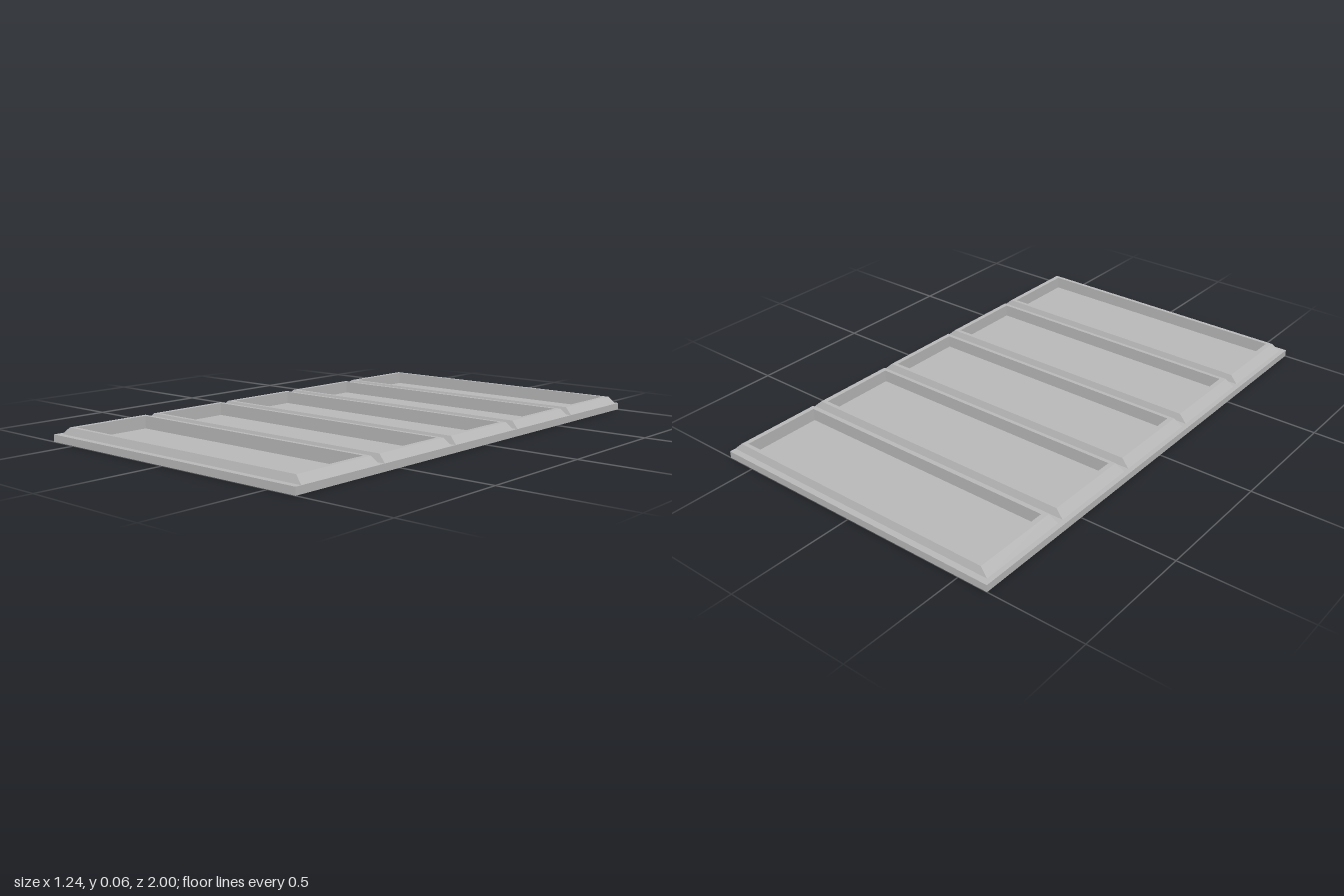
import * as THREE from 'three';

const WIDTH = 1.24, LENGTH = 2;
const FLOOR = 0.006, SLAB_TOP = 0.028, RIM_TOP = 0.056;
const PANELS = 5, PITCH = 0.395;
// Panel outlines as [x min, x max, half depth]
const BASE = [-0.6, 0.62, 0.185];
const CREST = [-0.567, 0.59, 0.176];
const HOLE = [-0.547, 0.57, 0.16];

// Corners of a rectangular outline at height y, counter-clockwise from above
function loop([x0, x1, h], y) {
  return [[x0, y, h], [x1, y, h], [x1, y, -h], [x0, y, -h]];
}

// Flat-faced skin through successive outlines, from the outside inwards
function rimGeometry(loops) {
  const points = [];
  for (let k = 0; k < loops.length - 1; k++) {
    const a = loops[k], b = loops[k + 1];
    for (let i = 0; i < 4; i++) {
      const j = (i + 1) % 4;
      points.push(a[i], a[j], b[j], a[i], b[j], b[i]);
    }
  }
  const geometry = new THREE.BufferGeometry();
  geometry.setAttribute('position', new THREE.Float32BufferAttribute(points.flat(), 3));
  geometry.computeVertexNormals();
  return geometry;
}

function rectangle(PathType, x0, x1, z0, z1) {
  const path = new PathType();
  path.moveTo(x0, z0).lineTo(x1, z0).lineTo(x1, z1).lineTo(x0, z1).closePath();
  return path;
}

export function createModel() {
  const group = new THREE.Group();
  group.name = 'panelledBoard';
  const grey = new THREE.MeshStandardMaterial({ color: 0xb8b8b8 });
  grey.name = 'grey';

  const add = (name, geometry) => {
    const mesh = new THREE.Mesh(geometry, grey);
    mesh.name = name;
    group.add(mesh);
    return mesh;
  };

  // Thin backing sheet, which is also the floor of the recesses
  add('backing', new THREE.BoxGeometry(WIDTH, FLOOR, LENGTH)).position.y = FLOOR / 2;

  // Slab with a rectangular opening for each panel
  const outline = rectangle(THREE.Shape, -WIDTH / 2, WIDTH / 2, -LENGTH / 2, LENGTH / 2);
  const rim = rimGeometry([loop(BASE, SLAB_TOP), loop(CREST, RIM_TOP), loop(HOLE, RIM_TOP), loop(HOLE, SLAB_TOP)]);
  for (let i = 0; i < PANELS; i++) {
    const z = (i - (PANELS - 1) / 2) * PITCH;
    outline.holes.push(rectangle(THREE.Path, HOLE[0], HOLE[1], z - HOLE[2], z + HOLE[2]));
    // Raised bevelled rim around the opening
    add('panelRim' + (i + 1), rim).position.z = z;
  }
  const slab = new THREE.ExtrudeGeometry(outline, { depth: SLAB_TOP - FLOOR, bevelEnabled: false });
  slab.rotateX(-Math.PI / 2);
  add('slab', slab).position.y = FLOOR;

  return group;
}
